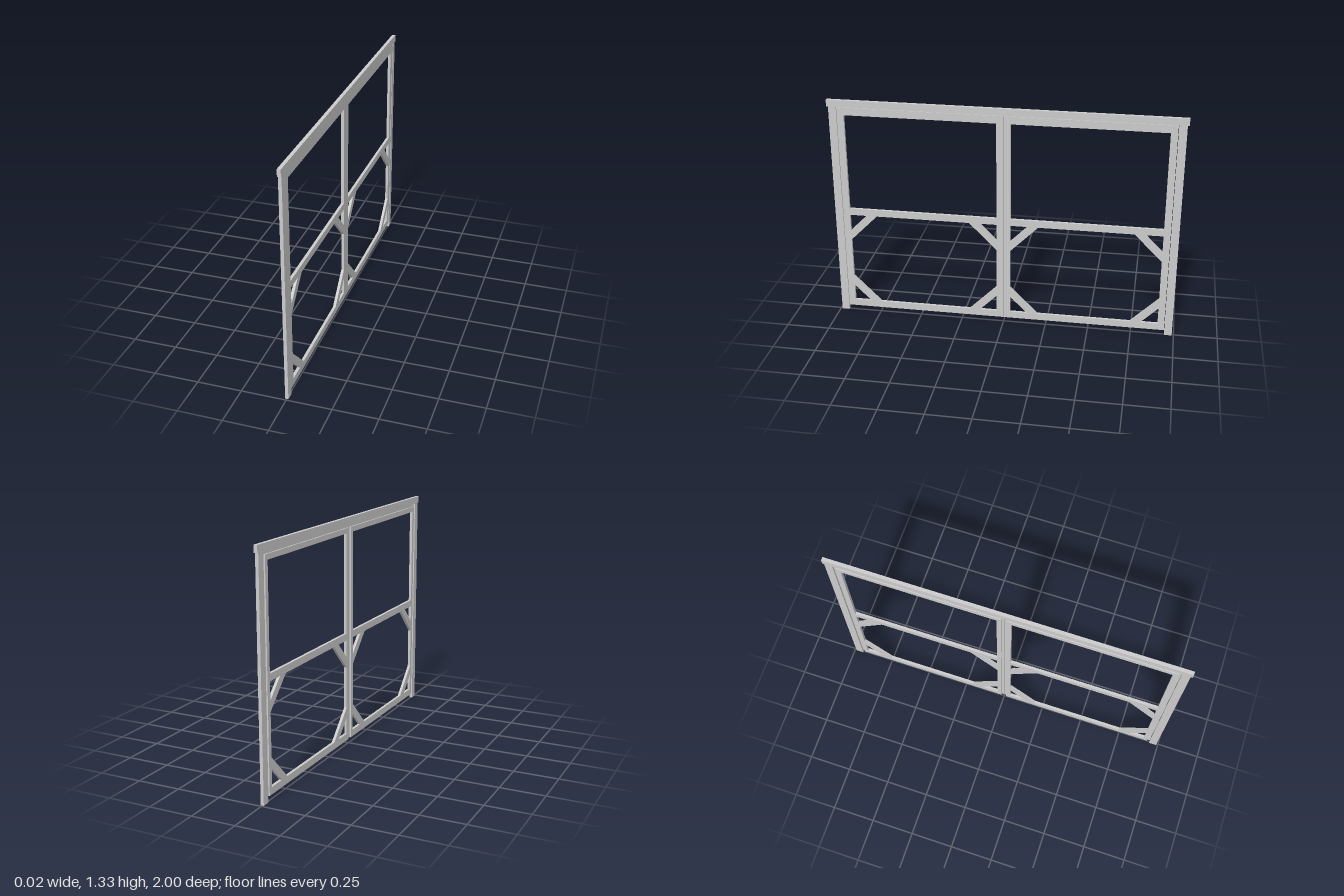
import * as THREE from 'three';

const grey = new THREE.MeshStandardMaterial({ color: 0xcccccc, flatShading: true });

// Closed polygon from [z, y] points
function poly(points, Type = THREE.Path) {
  return new Type(points.map(([a, b]) => new THREE.Vector2(a, b)));
}
const rect = (a0, b0, a1, b1, Type) => poly([[a0, b0], [a1, b0], [a1, b1], [a0, b1]], Type);

// Extrude a (z, y) shape along x from x0 to x1
function slab(shape, x0, x1, name) {
  const geo = new THREE.ExtrudeGeometry(shape, { depth: x1 - x0, bevelEnabled: false });
  geo.rotateY(-Math.PI / 2);
  geo.translate(x1, 0, 0);
  const mesh = new THREE.Mesh(geo, grey);
  mesh.name = name;
  return mesh;
}

function box(name, w, h, d, y, z) {
  const mesh = new THREE.Mesh(new THREE.BoxGeometry(w, h, d), grey);
  mesh.name = name;
  mesh.position.set(0, y, z);
  return mesh;
}

// Door outline with an upper opening, a lower eight-sided opening and braced corners
function doorShape(margin) {
  const half = 0.471 - margin;
  const shape = rect(-half, 0.03, half, 1.284 - margin, THREE.Shape);
  const a = 0.432, y0 = 0.07, y1 = 0.63, cut = 0.16, tri = 0.1;
  shape.holes.push(rect(-a, 0.67, a, 1.24));
  shape.holes.push(poly([
    [-a + cut, y0], [a - cut, y0], [a, y0 + cut], [a, y1 - cut],
    [a - cut, y1], [-a + cut, y1], [-a, y1 - cut], [-a, y0 + cut],
  ]));
  for (const s of [-1, 1]) {
    for (const [y, up] of [[y0, 1], [y1, -1]]) {
      shape.holes.push(poly([[s * a, y], [s * (a - tri), y], [s * a, y + up * tri]]));
    }
  }
  return shape;
}

export function createModel() {
  const model = new THREE.Group();
  model.name = 'doubleDoorFrame';

  // Outer frame
  model.add(box('header', 0.02, 0.04, 2, 1.307, 0));
  for (const s of [-1, 1]) {
    model.add(box(s > 0 ? 'frontPost' : 'backPost', 0.018, 1.287, 0.045, 0.6435, s * 0.9675));
  }

  // Pair of doors: a full plate with a slightly smaller raised layer on the -x side
  for (const s of [-1, 1]) {
    const door = new THREE.Group();
    door.name = s > 0 ? 'frontDoor' : 'backDoor';
    door.add(slab(doorShape(0), -0.001, 0.007, 'doorPlate'));
    door.add(slab(doorShape(0.014), -0.009, -0.001, 'doorRaisedLayer'));
    door.position.z = s * 0.472;
    model.add(door);
  }
  return model;
}
